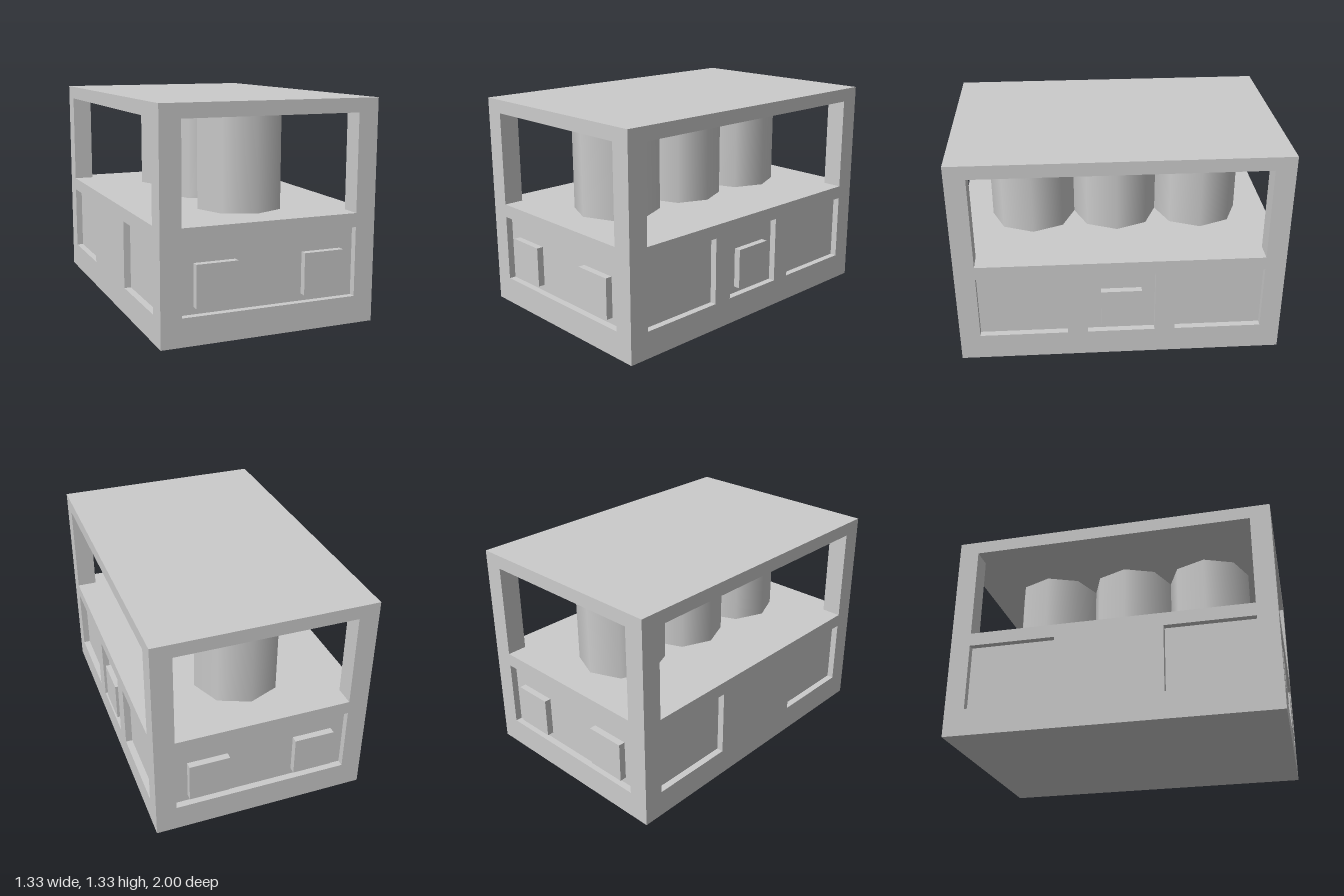
import * as THREE from 'three';

const U = 1 / 24; // module grid
const MAT = new THREE.MeshStandardMaterial({ color: 0xcccccc });

function mesh(name, geometry, parent) {
  const m = new THREE.Mesh(geometry, MAT);
  m.name = name;
  parent.add(m);
  return m;
}

// box given by its min and max corners, in grid units
function box(name, x0, x1, y0, y1, z0, z1, parent) {
  const g = new THREE.BoxGeometry((x1 - x0) * U, (y1 - y0) * U, (z1 - z0) * U);
  mesh(name, g, parent).position.set((x0 + x1) / 2 * U, (y0 + y1) / 2 * U, (z0 + z1) / 2 * U);
}

// one-unit-thick wall with recessed windows and raised blocks, facing +z before turning
function wall(name, halfWidth, distance, angle, recesses, blocks, parent) {
  const group = new THREE.Group();
  group.name = name;
  const rect = (C, x0, x1, y0, y1) => new C([[x0, y0], [x1, y0], [x1, y1], [x0, y1]]
    .map(([x, y]) => new THREE.Vector2(x * U, y * U)));
  const shape = rect(THREE.Shape, -halfWidth, halfWidth, 0, 16);
  for (const [a, b] of recesses) shape.holes.push(rect(THREE.Path, a, b, 4, 14));
  const g = new THREE.ExtrudeGeometry(shape, { depth: U, bevelEnabled: false });
  mesh('wallFrame', g, group).position.z = (distance - 1) * U;
  for (const [a, b] of blocks) box('raisedBlock', a, b, 5, 11, distance - 1, distance, group);
  group.rotation.y = angle;
  parent.add(group);
}

export function createModel() {
  const model = new THREE.Group();
  model.name = 'model';

  // solid base core and its four walls
  box('baseCore', -15, 15, 0, 16, -23, 23, model);
  const wide = [[-13, 13]], pair = [[-11, -5], [5, 11]];
  wall('frontWall', 16, 24, 0, wide, pair, model);
  wall('backWall', 16, 24, Math.PI, wide, pair, model);
  wall('leftWall', 23, 16, Math.PI / 2, [[-21, -8], [-5, 5], [8, 21]], [[-3, 3]], model);
  wall('rightWall', 23, 16, -Math.PI / 2, [[-21, -8], [8, 21]], [], model);

  // roof on four corner posts
  box('roof', -16, 16, 30, 32, -24, 24, model);
  for (const sx of [-14.5, 14.5])
    for (const sz of [-22.5, 22.5])
      box('cornerPost', sx - 1.5, sx + 1.5, 16, 30, sz - 1.5, sz + 1.5, model);

  // row of three eight-sided, smooth-shaded drums
  for (const z of [-12.8, 0, 12.8]) {
    const g = new THREE.CylinderGeometry(6.4 * U, 6.4 * U, 14 * U, 8);
    mesh('drum', g, model).position.set(0, 23 * U, z * U);
  }
  return model;
}
